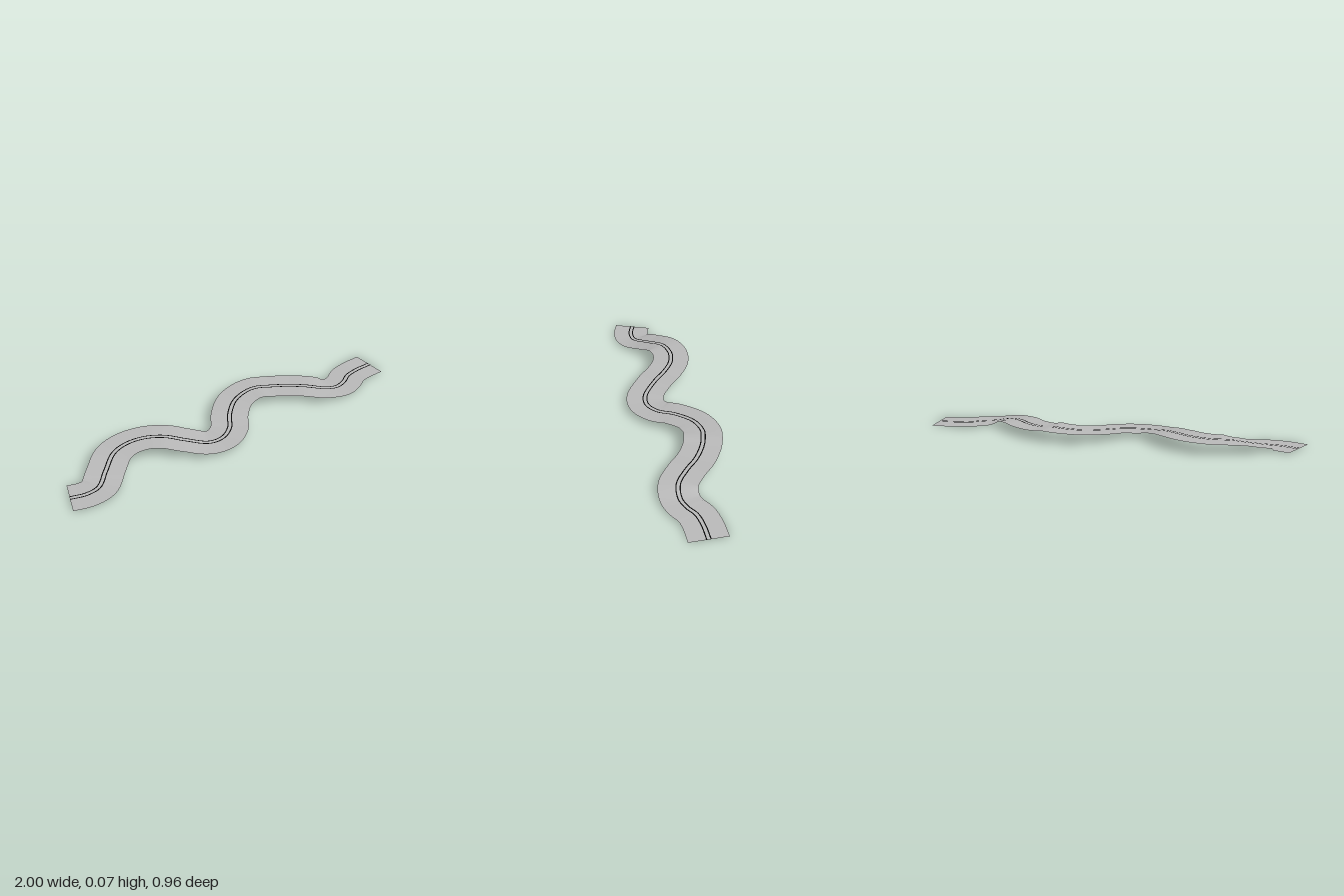
import * as THREE from 'three';

const HALF_WIDTH = 0.106;
const STEPS = 200;

// Centre line of the road: x, height, z
const centreLine = new THREE.CatmullRomCurve3([
  [-1, 0.01, 0.373], [-0.91, 0.01, 0.365], [-0.84, 0.014, 0.33], [-0.785, 0.036, 0.235],
  [-0.72, 0.063, 0.13], [-0.635, 0.067, 0.07], [-0.53, 0.068, 0.048], [-0.425, 0.066, 0.065],
  [-0.32, 0.053, 0.108], [-0.195, 0.032, 0.14], [-0.11, 0.029, 0.115], [-0.05, 0.034, 0.045],
  [-0.02, 0.045, -0.06], [0.045, 0.056, -0.175], [0.135, 0.064, -0.237], [0.2, 0.066, -0.252],
  [0.265, 0.057, -0.256], [0.38, 0.052, -0.24], [0.485, 0.051, -0.205], [0.59, 0.036, -0.178],
  [0.68, 0.015, -0.2], [0.74, 0.011, -0.245], [0.785, 0.009, -0.3], [0.86, 0.007, -0.346],
  [0.958, 0.004, -0.387],
].map(p => new THREE.Vector3(...p)));

// Flat ribbon following the centre line between two sideways offsets
function ribbon(from, to, lift, across) {
  const positions = [], index = [];
  for (let i = 0; i <= STEPS; i++) {
    const p = centreLine.getPointAt(i / STEPS);
    const t = centreLine.getTangentAt(i / STEPS);
    const side = new THREE.Vector3(-t.z, 0, t.x).normalize();
    if (i === 0) side.set(0, 0, 1); // square start
    for (let j = 0; j <= across; j++) {
      const d = from + (to - from) * j / across;
      positions.push(p.x + side.x * d, p.y + lift, p.z + side.z * d);
    }
  }
  // Keep every triangle facing up, also where tight bends overlap
  const addTriangle = (a, b, c) => {
    const x = k => positions[k * 3], z = k => positions[k * 3 + 2];
    const up = (z(b) - z(a)) * (x(c) - x(a)) - (x(b) - x(a)) * (z(c) - z(a));
    index.push(...(up >= 0 ? [a, b, c] : [a, c, b]));
  };
  const row = across + 1;
  for (let i = 0; i < STEPS; i++) {
    for (let j = 0; j < across; j++) {
      const a = i * row + j;
      addTriangle(a, a + 1, a + row);
      addTriangle(a + 1, a + row + 1, a + row);
    }
  }
  const geometry = new THREE.BufferGeometry();
  geometry.setAttribute('position', new THREE.Float32BufferAttribute(positions, 3));
  geometry.setIndex(index);
  geometry.computeVertexNormals();
  return geometry;
}

export function createModel() {
  const group = new THREE.Group();
  group.name = 'windingRoad';

  const asphalt = new THREE.MeshStandardMaterial({ color: 0xb8b8b8, side: THREE.DoubleSide });
  asphalt.name = 'paleGreyAsphalt';
  const paint = new THREE.MeshStandardMaterial({ color: 0x050505, side: THREE.DoubleSide });
  paint.name = 'blackPaint';

  // Road surface
  const road = new THREE.Mesh(ribbon(-HALF_WIDTH, HALF_WIDTH, 0, 8), asphalt);
  road.name = 'roadSurface';
  group.add(road);

  // Double centre stripe
  for (const [name, offset] of [['leftCentreStripe', -0.011], ['rightCentreStripe', 0.011]]) {
    const stripe = new THREE.Mesh(ribbon(offset - 0.003, offset + 0.003, 0.0012, 1), paint);
    stripe.name = name;
    group.add(stripe);
  }
  return group;
}
